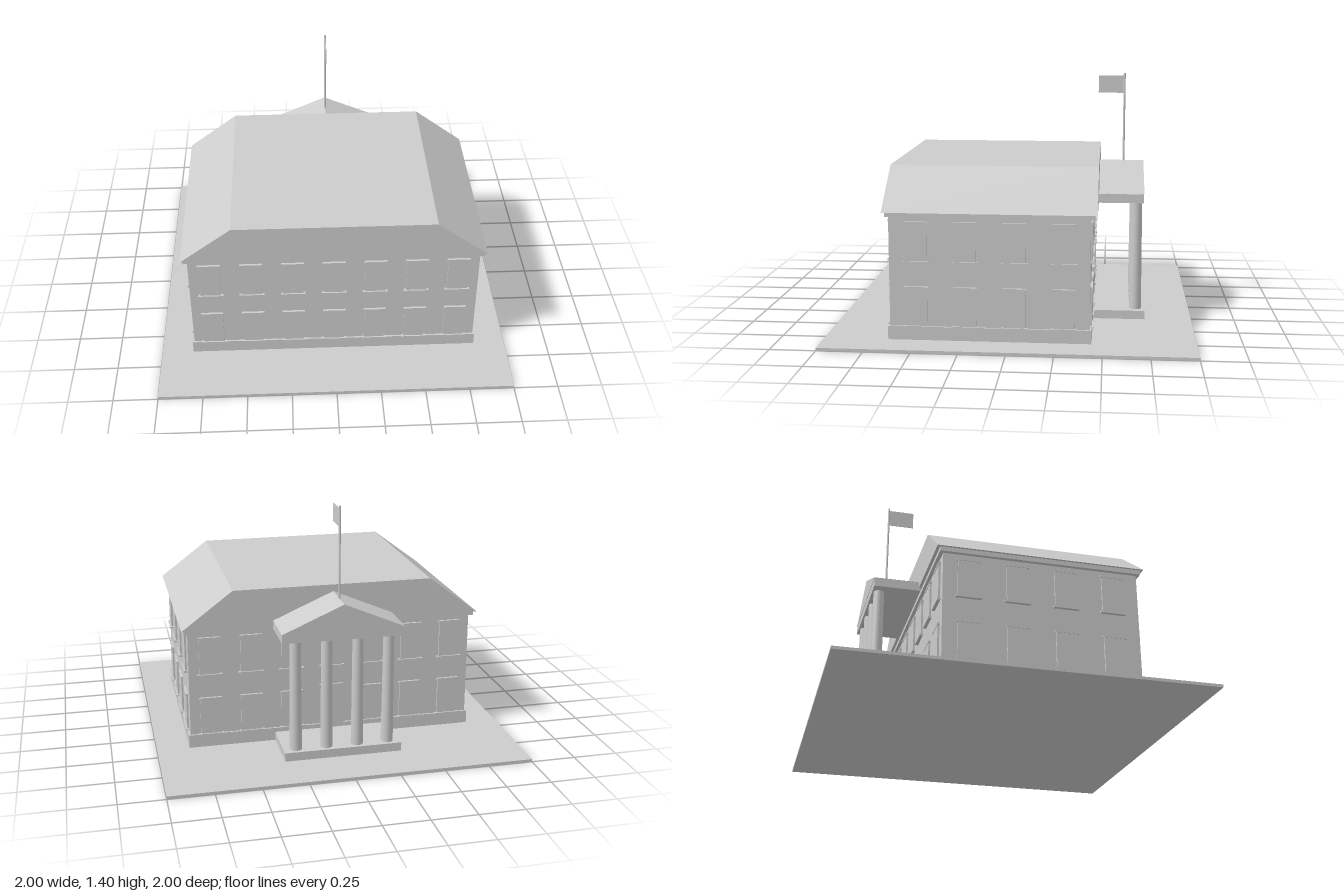
import * as THREE from 'three';

export function createModel() {
  const model = new THREE.Group();
  model.name = 'building';
  const grey = new THREE.MeshStandardMaterial({ color: 0xcccccc });
  grey.name = 'light grey';

  const add = (name, geometry, parent = model) => {
    const mesh = new THREE.Mesh(geometry, grey);
    mesh.name = name;
    parent.add(mesh);
    return mesh;
  };
  // Box given by its limits on each axis
  const box = (name, x0, x1, y0, y1, z0, z1, parent) => {
    const g = new THREE.BoxGeometry(x1 - x0, y1 - y0, z1 - z0);
    g.translate((x0 + x1) / 2, (y0 + y1) / 2, (z0 + z1) / 2);
    return add(name, g, parent);
  };
  // Outline in x and y, extruded along z
  const prism = (name, points, z0, z1) => {
    const shape = new THREE.Shape(points.map(([x, y]) => new THREE.Vector2(x, y)));
    const g = new THREE.ExtrudeGeometry(shape, { depth: z1 - z0, bevelEnabled: false });
    g.translate(0, 0, z0);
    return add(name, g);
  };

  // Ground and main block
  box('ground', -1, 1, 0, 0.016, -1, 1);
  box('plinth', -0.82, 0.82, 0.005, 0.09, -0.442, 0.65);
  box('walls', -0.81, 0.81, 0.08, 0.7, -0.432, 0.64);
  box('cornice', -0.832, 0.832, 0.688, 0.714, -0.452, 0.657);
  prism('mainRoof', [[-0.845, 0.713], [0.845, 0.713], [0.56, 0.928], [-0.56, 0.928]], -0.468, 0.672);

  // Windows: shallow casing, projecting sill and thin lintel, facing local +z
  const addWindow = (wall, x, base) => {
    const w = new THREE.Group();
    w.name = 'window';
    w.position.set(x, base, 0);
    wall.add(w);
    box('windowCasing', -0.058, 0.058, 0.01, 0.215, -0.005, 0.01, w);
    box('windowSill', -0.07, 0.07, 0, 0.011, -0.005, 0.018, w);
    box('windowLintel', -0.064, 0.064, 0.213, 0.225, -0.005, 0.013, w);
  };
  const addWall = (name, x, z, turn, count, step, skipCentre) => {
    const wall = new THREE.Group();
    wall.name = name;
    wall.position.set(x, 0, z);
    wall.rotation.y = turn;
    model.add(wall);
    for (let i = 0; i < count; i++) {
      const offset = (i - (count - 1) / 2) * step;
      addWindow(wall, offset, 0.437);
      if (!(skipCentre && i === (count - 1) / 2)) addWindow(wall, offset, 0.084);
    }
    return wall;
  };
  addWall('frontWindows', 0, 0.64, 0, 7, 0.231, false);
  const backWall = addWall('backWindows', 0, -0.432, Math.PI, 7, 0.231, true);
  addWall('leftWindows', 0.81, 0.1, Math.PI / 2, 4, 0.263, false);
  addWall('rightWindows', -0.81, 0.1, -Math.PI / 2, 4, 0.263, false);
  box('door', -0.07, 0.07, 0.065, 0.33, -0.005, 0.01, backWall);

  // Portico
  box('porchFloor', -0.33, 0.33, 0.005, 0.065, -0.735, -0.435);
  for (const x of [-0.26, -0.087, 0.087, 0.26]) {
    add('column', new THREE.CylinderGeometry(0.03, 0.034, 0.63, 24)).position.set(x, 0.378, -0.682);
  }
  box('porticoBeam', -0.338, 0.338, 0.692, 0.744, -0.72, -0.46);
  prism('porticoRoof', [[-0.34, 0.743], [0.34, 0.743], [0, 0.89]], -0.722, -0.46);

  // Flagpole and flag
  add('flagpole', new THREE.CylinderGeometry(0.006, 0.006, 0.54, 12)).position.set(0, 1.13, -0.605);
  box('flag', -0.002, 0.002, 1.285, 1.385, -0.602, -0.455);

  return model;
}
